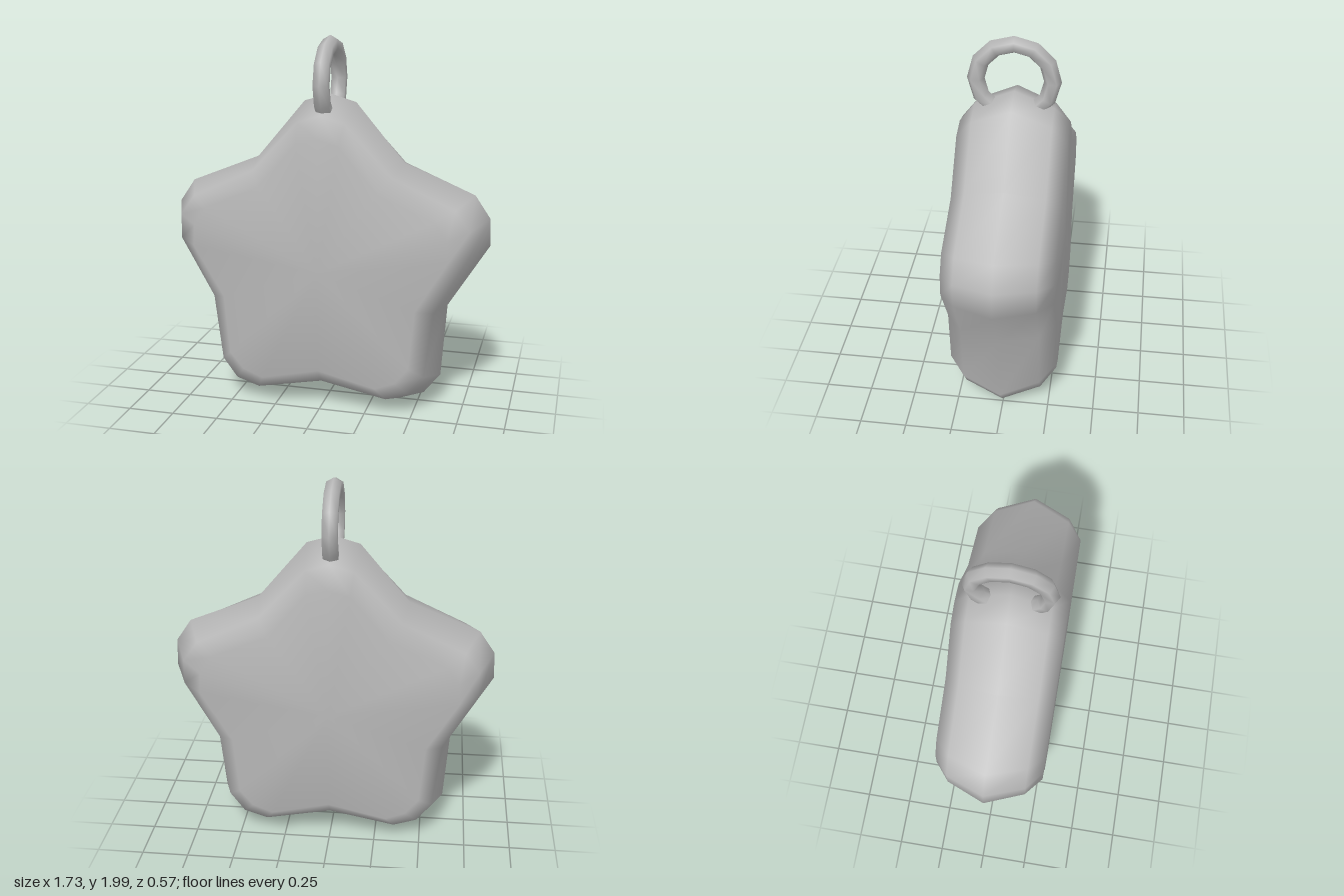
import * as THREE from 'three';

const CENTRE_Y = 0.79;
const TIP_ANGLE = THREE.MathUtils.degToRad(9.2);

// Cross-sections from front to back: z, tip radius, tip shoulder radius, valley radius
const SECTIONS = [
  [0.285, 0.71, 0.69, 0.545],
  [0.205, 0.82, 0.79, 0.635],
  [0, 0.905, 0.876, 0.684],
  [-0.205, 0.82, 0.79, 0.635],
  [-0.285, 0.71, 0.69, 0.545],
];

// Five-pointed outline, four points per arm, running clockwise from the top
function starOutline(tip, shoulder, valley) {
  const points = [];
  for (let arm = 0; arm < 5; arm++) {
    const a = (arm * Math.PI * 2) / 5;
    const corners = [
      [shoulder, a - TIP_ANGLE],
      [tip, a],
      [shoulder, a + TIP_ANGLE],
      [valley, a + Math.PI / 5],
    ];
    for (const [r, t] of corners) points.push([r * Math.sin(t), r * Math.cos(t)]);
  }
  return points;
}

function starGeometry() {
  const positions = [];
  const index = [];
  const n = 20;
  for (const [z, tip, shoulder, valley] of SECTIONS) {
    for (const [x, y] of starOutline(tip, shoulder, valley)) positions.push(x, y, z);
  }
  // Rounded rim
  for (let s = 0; s < SECTIONS.length - 1; s++) {
    for (let i = 0; i < n; i++) {
      const j = (i + 1) % n;
      const a = s * n + i, b = s * n + j, c = a + n, d = b + n;
      index.push(a, b, c, b, d, c);
    }
  }
  // Flat front and back faces
  const front = positions.length / 3;
  const back = front + 1;
  const last = (SECTIONS.length - 1) * n;
  positions.push(0, 0, SECTIONS[0][0], 0, 0, SECTIONS[SECTIONS.length - 1][0]);
  for (let i = 0; i < n; i++) {
    const j = (i + 1) % n;
    index.push(front, j, i, back, last + i, last + j);
  }
  const geometry = new THREE.BufferGeometry();
  geometry.setAttribute('position', new THREE.Float32BufferAttribute(positions, 3));
  geometry.setIndex(index);
  geometry.computeVertexNormals();
  return geometry;
}

export function createModel() {
  const group = new THREE.Group();
  group.name = 'starPendant';
  const grey = new THREE.MeshStandardMaterial({ color: 0xb8b8b8 });
  grey.name = 'grey';

  // Puffy star body
  const star = new THREE.Mesh(starGeometry(), grey);
  star.name = 'starBody';
  star.position.y = CENTRE_Y;
  group.add(star);

  // Hanging ring, turned edge-on to the front and sunk into the top arm
  const ring = new THREE.Mesh(new THREE.TorusGeometry(0.195, 0.045, 6, 12), grey);
  ring.name = 'hangingRing';
  ring.rotation.y = Math.PI / 2;
  ring.position.y = 1.76;
  group.add(ring);

  return group;
}
